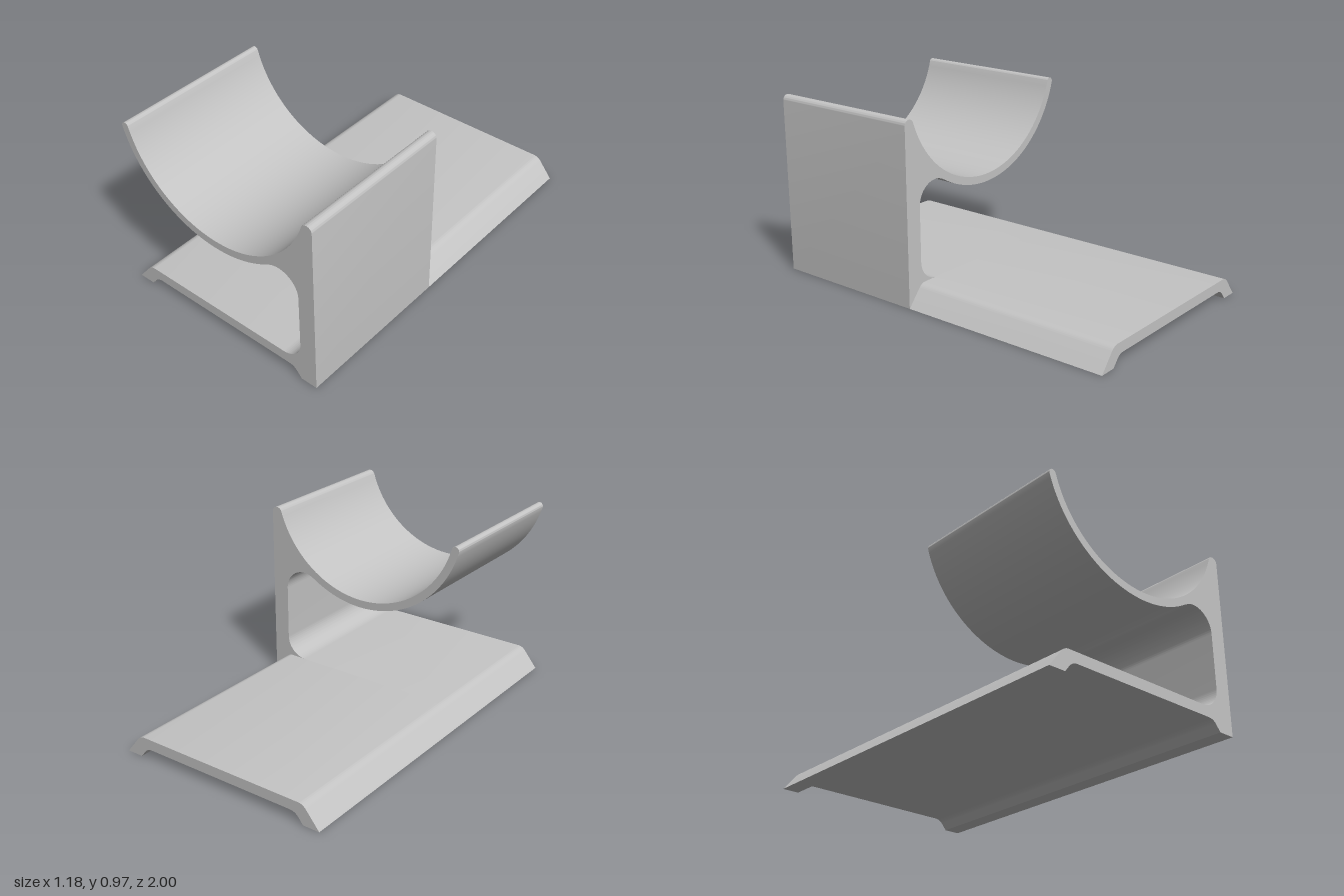
import * as THREE from 'three';
import { toCreasedNormals } from 'three/addons/utils/BufferGeometryUtils.js';

const rad = THREE.MathUtils.degToRad;

// Underside shared by both profiles, drawn left to right: two feet and a shallow recess
function startUnderside() {
  const s = new THREE.Shape();
  s.moveTo(-0.59, 0);
  s.lineTo(-0.5, 0);
  s.lineTo(-0.475, 0.031);
  s.quadraticCurveTo(-0.456, 0.055, -0.425, 0.055);
  s.lineTo(0.425, 0.055);
  s.quadraticCurveTo(0.456, 0.055, 0.475, 0.031);
  s.lineTo(0.5, 0);
  s.lineTo(0.59, 0);
  return s;
}

// Rounded sloping left edge that closes both profiles
function closeLeftEdge(s) {
  s.lineTo(-0.475, 0.11);
  s.quadraticCurveTo(-0.5, 0.109, -0.518, 0.088);
  s.lineTo(-0.59, 0);
  return s;
}

// Plain base plate
function baseProfile() {
  const s = startUnderside();
  s.lineTo(0.518, 0.088);
  s.quadraticCurveTo(0.5, 0.109, 0.475, 0.11);
  return closeLeftEdge(s);
}

// Base, upright wall and curved cradle in one outline
function cradleProfile() {
  const cx = 0.008, cy = 1.108, inner = 0.552, outer = 0.593;
  const mid = (inner + outer) / 2, tip = rad(196);
  const s = startUnderside();
  // wall and its rounded top
  s.lineTo(0.59, 0.925);
  s.bezierCurveTo(0.59, 0.96, 0.545, 0.965, 0.533, 0.937);
  // cradle inside, rounded tip, cradle underside
  s.absarc(cx, cy, inner, rad(-18), rad(-164), true);
  s.absarc(cx + mid * Math.cos(tip), cy + mid * Math.sin(tip), (outer - inner) / 2, rad(16), tip, false);
  s.absarc(cx, cy, outer, tip, rad(301.8), false);
  // fillets between cradle, wall and base
  s.absarc(0.385, 0.507, 0.115, rad(121.8), 0, true);
  s.absarc(0.39, 0.22, 0.11, 0, rad(-90), true);
  return closeLeftEdge(s);
}

function extrudePart(name, shape, zBack, zFront, material) {
  const geo = new THREE.ExtrudeGeometry(shape, {
    depth: zFront - zBack, bevelEnabled: false, curveSegments: 24,
  });
  geo.translate(0, 0, zBack);
  const mesh = new THREE.Mesh(toCreasedNormals(geo, rad(25)), material);
  mesh.name = name;
  return mesh;
}

export function createModel() {
  const grey = new THREE.MeshStandardMaterial({ color: 0xc4c4c4 });
  grey.name = 'grey';
  const group = new THREE.Group();
  group.name = 'cradleStand';
  group.add(
    extrudePart('basePlate', baseProfile(), -1, 0.143, grey),
    extrudePart('cradleAndWall', cradleProfile(), 0.143, 1, grey),
  );
  return group;
}
